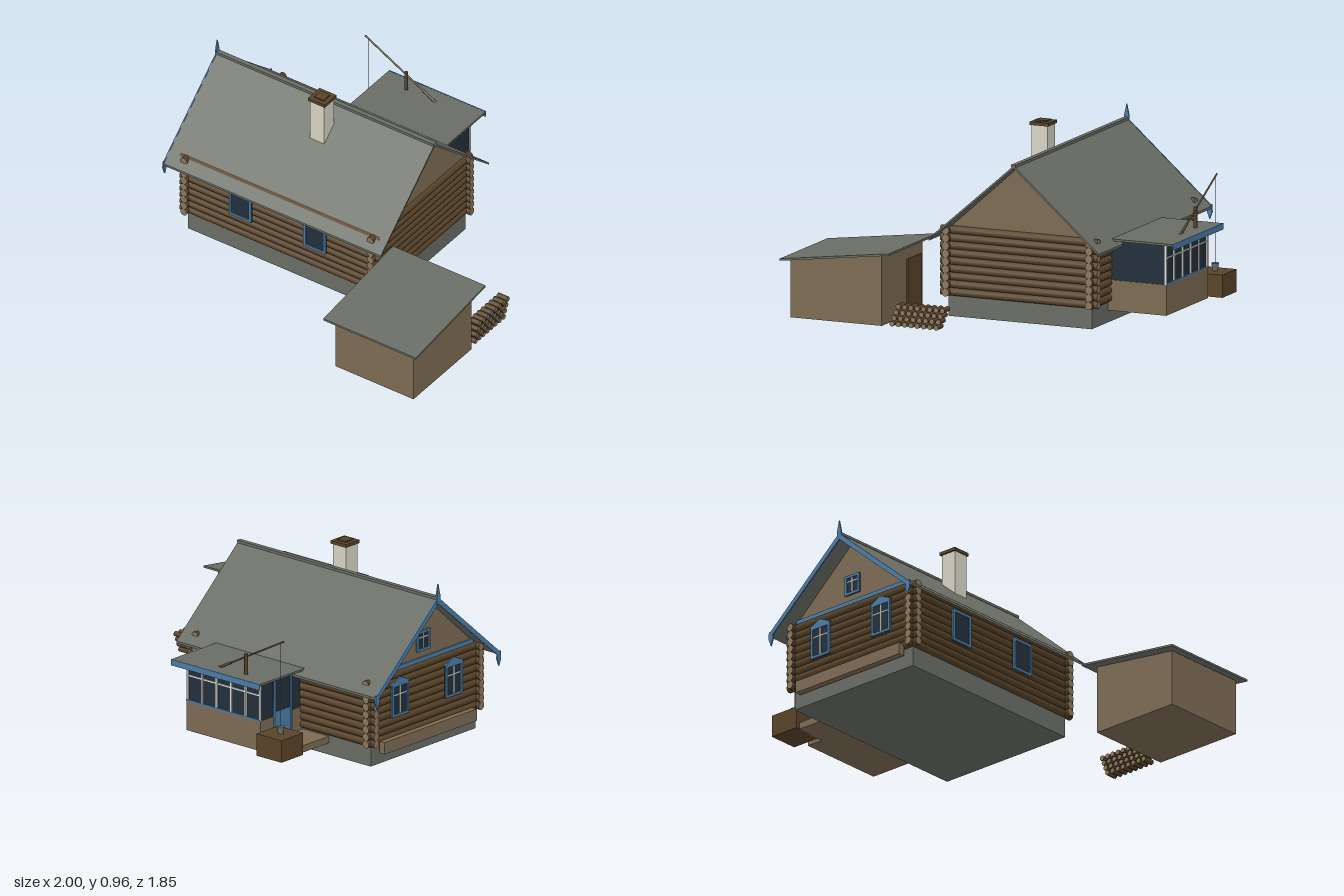
import * as THREE from 'three';

const paint = (name, color) => {
  const m = new THREE.MeshStandardMaterial({ color });
  m.name = name;
  return m;
};

export function createModel() {
  const house = new THREE.Group();
  house.name = 'logCabinYard';

  const slate = paint('slate grey', 0x696d65);
  const plank = paint('plank tan', 0x7c6b53);
  const brown = paint('log brown', 0x584329);
  const cutWood = paint('cut wood', 0x8a775c);
  const cream = paint('chimney cream', 0xd6d4c5);
  const blue = paint('trim blue', 0x4b7ca6);
  const glass = paint('dark glass', 0x232f3b);
  const white = paint('window white', 0xdcdcd4);

  const add = (name, geo, mat, parent = house) => {
    const mesh = new THREE.Mesh(geo, mat);
    mesh.name = name;
    parent.add(mesh);
    return mesh;
  };
  // Box given by its minimum and maximum on each axis
  const box = (name, mat, [x0, x1], [y0, y1], [z0, z1], parent) => {
    const g = new THREE.BoxGeometry(x1 - x0, y1 - y0, z1 - z0);
    g.translate((x0 + x1) / 2, (y0 + y1) / 2, (z0 + z1) / 2);
    return add(name, g, mat, parent);
  };
  // Profile of [z, y] points drawn out from x0 to x1
  const prism = (name, mat, points, x0, x1, parent) => {
    const shape = new THREE.Shape(points.map(p => new THREE.Vector2(...p)));
    const g = new THREE.ExtrudeGeometry(shape, { depth: x1 - x0, bevelEnabled: false });
    g.rotateY(-Math.PI / 2).translate(x1, 0, 0);
    return add(name, g, mat, parent);
  };
  // Round timber between two points
  const pole = (name, a, b, r, mats, parent, sides = 10) => {
    const from = new THREE.Vector3(...a), to = new THREE.Vector3(...b);
    const mesh = add(name, new THREE.CylinderGeometry(r, r, from.distanceTo(to), sides), mats, parent);
    mesh.position.copy(from).add(to).multiplyScalar(0.5);
    mesh.quaternion.setFromUnitVectors(new THREE.Vector3(0, 1, 0), to.sub(from).normalize());
    return mesh;
  };
  const timber = [brown, cutWood, cutWood];

  // Foundation and log walls
  box('foundation', slate, [-0.89, 0.29], [0, 0.112], [-0.53, 0.29]);
  const walls = new THREE.Group();
  walls.name = 'logWalls';
  house.add(walls);
  for (let i = 0; i < 9; i++) {
    const y = 0.13 + i * 0.041;
    for (const z of [-0.53, 0.29]) pole('longLog', [-0.93, y, z], [0.33, y, z], 0.0215, timber, walls);
    for (const x of [-0.89, 0.29]) pole('crossLog', [x, y, -0.57], [x, y, 0.33], 0.0215, timber, walls);
  }

  // Gable and pitched roof
  const ridgeZ = -0.125, ridgeY = 0.845, eaveY = 0.415, halfSpan = 0.487;
  prism('gable', plank, [[-0.535, 0.468], [0.285, 0.468], [ridgeZ, 0.832]], -0.89, 0.29);
  for (const s of [-1, 1]) {
    const eaveZ = ridgeZ + s * halfSpan;
    prism('roofSlope', slate,
      [[ridgeZ, ridgeY], [eaveZ, eaveY + 0.005], [eaveZ, eaveY - 0.008], [ridgeZ, ridgeY - 0.014]], -0.995, 0.38);
    // Left gable trim with hanging ends
    prism('bargeboard', blue,
      [[ridgeZ, ridgeY + 0.002], [eaveZ, eaveY + 0.007], [eaveZ, eaveY - 0.025], [ridgeZ, ridgeY - 0.033]], -1, -0.993);
    const pz = eaveZ - s * 0.012;
    prism('eavePendant', blue,
      [[pz - 0.013, 0.43], [pz - 0.015, 0.39], [pz, 0.35], [pz + 0.015, 0.39], [pz + 0.013, 0.43]], -1.0005, -0.992);
  }
  box('ridgeCap', slate, [-0.995, 0.382], [0.836, 0.85], [ridgeZ - 0.013, ridgeZ + 0.013]);
  prism('roofFinial', blue,
    [[ridgeZ - 0.014, 0.81], [ridgeZ + 0.014, 0.81], [ridgeZ + 0.014, 0.858], [ridgeZ, 0.92], [ridgeZ - 0.014, 0.858]], -1.0005, -0.992);
  box('gableBeam', blue, [-0.9, -0.889], [0.478, 0.5], [-0.51, 0.26]);

  // Chimney
  box('chimney', cream, [-0.29, -0.2], [0.6, 0.942], [-0.045, 0.045]);
  box('chimneyCap', brown, [-0.299, -0.192], [0.94, 0.957], [-0.054, 0.052]);
  box('chimneyLid', brown, [-0.275, -0.215], [0.957, 0.965], [-0.03, 0.03]);

  // Framed window facing +z, optionally with glazing bars and pediment
  const makeWindow = (name, w, h, bars, pediment) => {
    const g = new THREE.Group();
    g.name = name;
    const t = 0.014, X = w / 2, Y = h / 2;
    box('pane', glass, [-X, X], [-Y, Y], [-0.003, 0.003], g);
    for (const s of [-1, 1]) {
      const x = s * (X - t / 2), y = s * (Y - t / 2);
      box('sideFrame', blue, [x - t / 2, x + t / 2], [-Y, Y], [-0.003, 0.009], g);
      box('crossFrame', blue, [-X, X], [y - t / 2, y + t / 2], [-0.003, 0.009], g);
    }
    if (bars) {
      box('uprightBar', white, [-0.003, 0.003], [-Y + t, Y - t], [0, 0.006], g);
      box('crossBar', white, [-X + t, X - t], [Y * 0.3, Y * 0.3 + 0.006], [0, 0.006], g);
    }
    if (pediment) {
      const s = new THREE.Shape([[-X - 0.01, Y], [X + 0.01, Y], [0, Y + 0.035]].map(p => new THREE.Vector2(...p)));
      add('pediment', new THREE.ExtrudeGeometry(s, { depth: 0.009, bevelEnabled: false }), blue, g);
    }
    house.add(g);
    return g;
  };
  for (const x of [-0.54, -0.07]) makeWindow('frontWindow', 0.14, 0.178, false, false).position.set(x, 0.325, 0.312);
  for (const z of [-0.33, 0.09]) {
    const w = makeWindow('sideWindow', 0.13, 0.178, true, true);
    w.position.set(-0.912, 0.325, z);
    w.rotation.y = -Math.PI / 2;
  }
  const attic = makeWindow('atticWindow', 0.1, 0.11, true, false);
  attic.position.set(-0.893, 0.59, ridgeZ);
  attic.rotation.y = -Math.PI / 2;

  // Bench board along the left wall
  box('wallBench', plank, [-0.942, -0.905], [0.065, 0.13], [-0.48, 0.24]);

  // Glazed veranda at the back
  const veranda = new THREE.Group();
  veranda.name = 'veranda';
  house.add(veranda);
  box('verandaBase', plank, [-0.42, 0.09], [0.063, 0.225], [-0.862, -0.53], veranda);
  box('verandaGlass', glass, [-0.415, 0.085], [0.225, 0.445], [-0.855, -0.53], veranda);
  box('verandaRoof', slate, [-0.47, 0.142], [0.443, 0.454], [-0.922, -0.45], veranda);
  box('verandaFascia', blue, [-0.47, 0.142], [0.422, 0.455], [-0.926, -0.92], veranda);
  for (let i = 0; i < 6; i++) {
    const x = -0.414 + i * 0.0996;
    box('mullion', white, [x - 0.006, x + 0.006], [0.225, 0.443], [-0.863, -0.853], veranda);
  }
  box('glazingRail', white, [-0.414, 0.084], [0.36, 0.368], [-0.86, -0.853], veranda);
  box('glazingSill', blue, [-0.42, 0.09], [0.222, 0.232], [-0.865, -0.853], veranda);
  const door = makeWindow('verandaDoor', 0.14, 0.33, false, false);
  door.position.set(-0.421, 0.275, -0.69);
  door.rotation.y = -Math.PI / 2;
  box('doorPanel', blue, [-0.426, -0.42], [0.11, 0.25], [-0.76, -0.62], veranda);
  box('doorstep', plank, [-0.6, -0.42], [0.063, 0.1], [-0.765, -0.53], veranda);

  // Well with sweep pole, rope and bucket
  const well = new THREE.Group();
  well.name = 'well';
  house.add(well);
  box('wellBox', brown, [-0.625, -0.452], [0.063, 0.183], [-0.928, -0.758], well);
  pole('sweepPost', [-0.305, 0.4, -0.843], [-0.305, 0.565, -0.843], 0.01, brown, well, 8);
  pole('sweepBeam', [-0.085, 0.43, -0.843], [-0.565, 0.69, -0.843], 0.005, brown, well, 6);
  pole('sweepWeight', [-0.085, 0.43, -0.843], [-0.2, 0.492, -0.843], 0.008, brown, well, 6);
  pole('rope', [-0.545, 0.68, -0.843], [-0.545, 0.22, -0.843], 0.0015, slate, well, 4);
  const bucket = add('bucket', new THREE.CylinderGeometry(0.02, 0.015, 0.04, 10), slate, well);
  bucket.position.set(-0.545, 0.204, -0.843);

  // Shed with a lean-to roof
  const shed = new THREE.Group();
  shed.name = 'shed';
  house.add(shed);
  prism('shedBody', plank, [[0.36, 0.063], [0.883, 0.063], [0.883, 0.368], [0.36, 0.437]], 0.46, 0.953, shed);
  prism('shedRoof', slate, [[0.297, 0.447], [0.925, 0.366], [0.925, 0.377], [0.297, 0.458]], 0.412, 0.997, shed);
  box('shedDoor', brown, [0.48, 0.65], [0.068, 0.36], [0.353, 0.361], shed);

  // Stacked firewood behind the shed
  const pile = new THREE.Group();
  pile.name = 'firewood';
  house.add(pile);
  for (let row = 0; row < 4; row++) {
    for (let i = 0; i < 8; i++) {
      const y = 0.077 + row * 0.031, z = 0.306 - row * 0.012 - i * 0.036;
      pole('firewoodLog', [0.88, y, z], [0.945, y, z], 0.0145, timber, pile, 8);
    }
  }
  return house;
}
